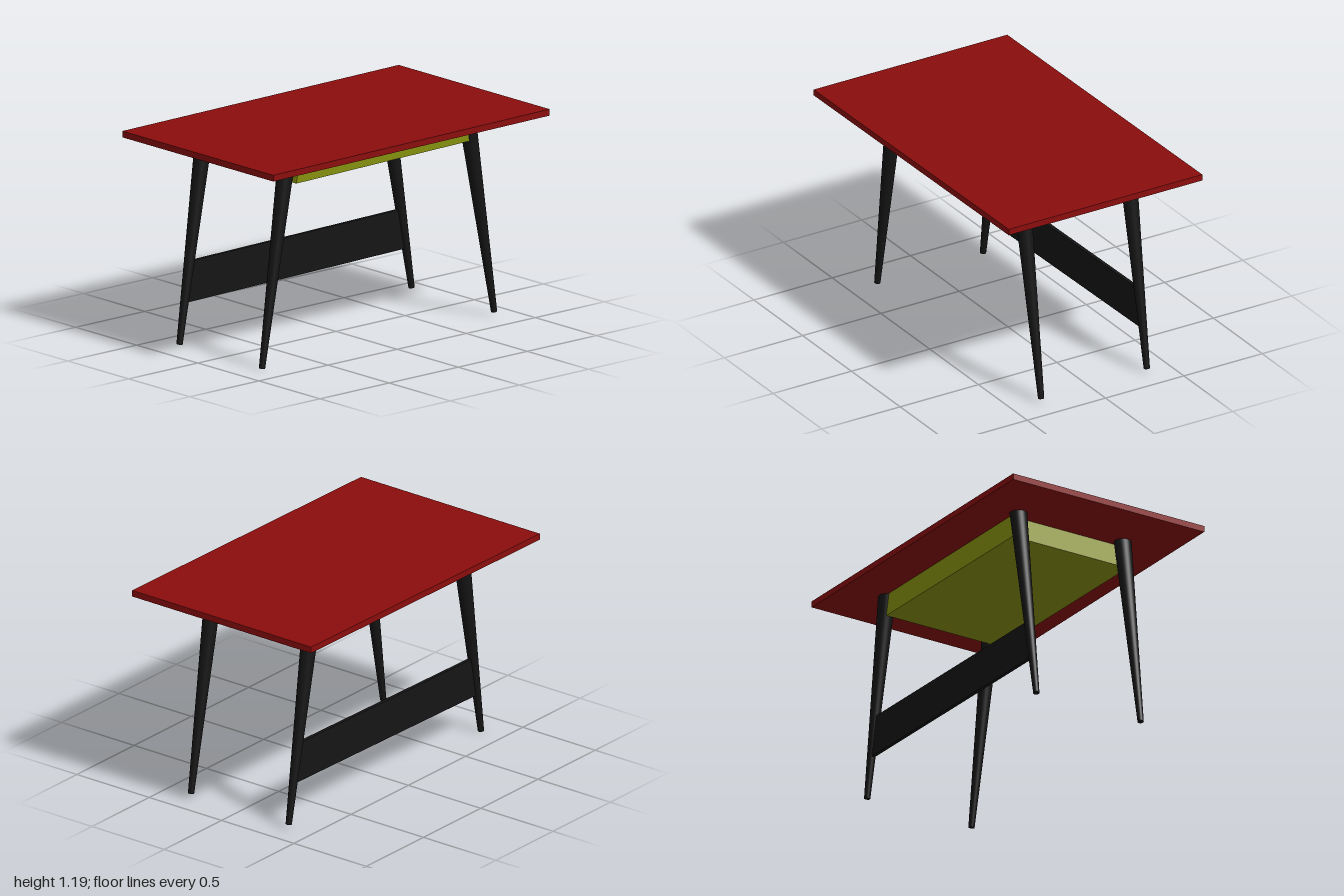
import * as THREE from 'three';

const paint = (color) => new THREE.MeshStandardMaterial({ color });
const red = paint(0x8b0d0d), olive = paint(0x8a9410), black = paint(0x151515), grey = paint(0x777777);

function add(parent, name, geometry, material) {
  const mesh = new THREE.Mesh(geometry, material);
  mesh.name = name;
  parent.add(mesh);
  return mesh;
}

// Side profile given as [z, y] corners, extruded from x0 to x1
function sidePrism(profile, x0, x1) {
  const shape = new THREE.Shape(profile.map(([z, y]) => new THREE.Vector2(-z, y)));
  const geometry = new THREE.ExtrudeGeometry(shape, { depth: x1 - x0, bevelEnabled: false });
  return geometry.rotateY(Math.PI / 2).translate(x0, 0, 0);
}

// Tapered round leg running from foot to top
function leg(parent, name, foot, top) {
  const axis = top.clone().sub(foot);
  const mesh = add(parent, name, new THREE.CylinderGeometry(0.048, 0.017, axis.length(), 32), black);
  mesh.position.copy(foot).lerp(top, 0.5);
  mesh.quaternion.setFromUnitVectors(new THREE.Vector3(0, 1, 0), axis.normalize());
}

export function createModel() {
  const table = new THREE.Group();
  table.name = 'table';

  // Slightly sloping top board
  add(table, 'tabletop', sidePrism([[1, 1.143], [-1, 1.158], [-1, 1.194], [1, 1.178]], -0.618, 0.618), red);

  // Splayed legs, the rear pair standing a touch higher
  for (const [side, x] of [['Right', -0.352], ['Left', 0.323]]) {
    leg(table, 'front' + side + 'Leg', new THREE.Vector3(x, 0.003, 0.821), new THREE.Vector3(x, 1.155, 0.642));
    leg(table, 'back' + side + 'Leg', new THREE.Vector3(x, 0.025, -0.858), new THREE.Vector3(x, 1.168, -0.66));
  }

  // Board joining the two legs on one side
  add(table, 'sideStretcher',
    sidePrism([[0.785, 0.231], [-0.818, 0.254], [-0.78, 0.48], [0.75, 0.459]], -0.362, -0.342), black);

  // Drawer box under the top, its front leaning outward towards the top
  const box = sidePrism([[0.617, 1.014], [-0.637, 1.03], [-0.61, 1.153], [0.597, 1.144]], -0.372, 0.372);
  const p = box.attributes.position;
  for (let i = 0; i < p.count; i++) {
    if (p.getX(i) > 0 && p.getY(i) > 1.1) p.setX(i, 0.382);
  }
  box.computeVertexNormals();
  add(table, 'drawer', box, olive);

  // Drawer knob
  add(table, 'drawerKnob', new THREE.SphereGeometry(0.02, 24, 16), grey).position.set(0.398, 1.09, 0.027);

  return table;
}
